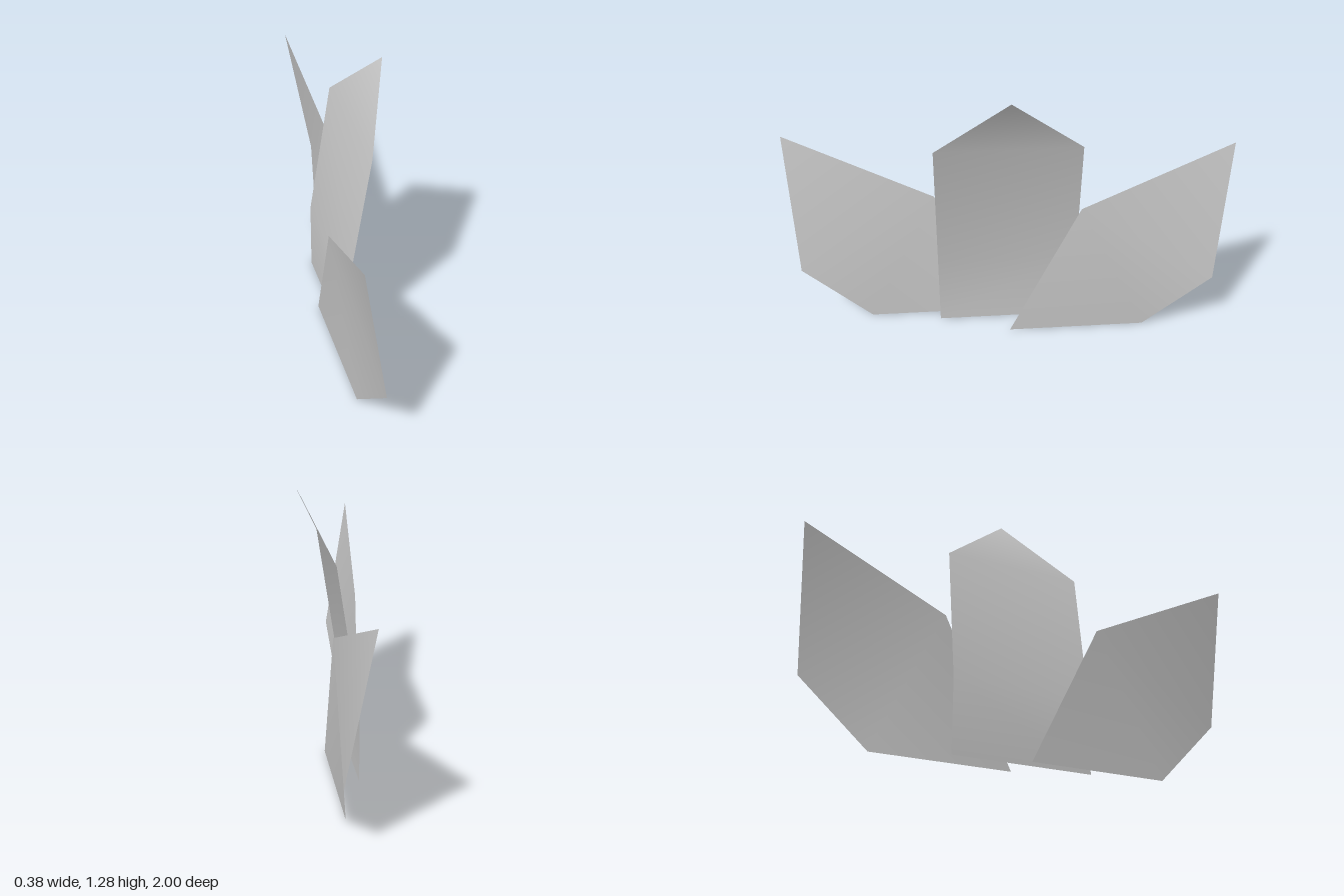
import * as THREE from 'three';

const paleGrey = new THREE.MeshStandardMaterial({ color: 0xcccccc, side: THREE.DoubleSide });
paleGrey.name = 'paleGrey';

// Thin sheet from a few corner points and the faces between them, smoothly shaded
function sheet(name, points, faces) {
  const geometry = new THREE.BufferGeometry();
  geometry.setAttribute('position', new THREE.Float32BufferAttribute(points.flat(), 3));
  geometry.setIndex(faces.flat());
  geometry.computeVertexNormals();
  const mesh = new THREE.Mesh(geometry, paleGrey);
  mesh.name = name;
  return mesh;
}

export function createModel() {
  const group = new THREE.Group();
  group.name = 'leafCluster';

  // Central blade: upright at the foot, bending towards +x, with a pointed tip
  const rows = [[-0.05, 0], [-0.05, 0.34], [0.05, 0.99]];
  const points = rows.flatMap(([x, y]) => [[x, y, 0.33], [x, y, -0.32]]);
  points.push([0.19, 1.28, 0.005]);
  const faces = [];
  for (let i = 0; i < rows.length - 1; i++) {
    const a = i * 2;
    faces.push([a, a + 1, a + 3], [a, a + 3, a + 2]);
  }
  faces.push([4, 5, 6]);
  group.add(sheet('centralBlade', points, faces));

  // Side blades: foot, outer foot, outer bend, tip, inner shoulder
  const fan = [[0, 1, 4], [1, 2, 4], [2, 3, 4]];
  group.add(sheet('backBlade', [
    [0.06, 0, 0], [0.06, 0, -0.64], [0.115, 0.3, -0.94], [0.003, 0.955, -1], [0.065, 0.68, -0.32],
  ], fan));
  group.add(sheet('frontBlade', [
    [-0.105, 0, 0.02], [-0.105, 0, 0.66], [-0.08, 0.305, 0.97], [-0.19, 0.965, 1], [-0.137, 0.65, 0.335],
  ], fan.map(([a, b, c]) => [a, c, b])));

  return group;
}
